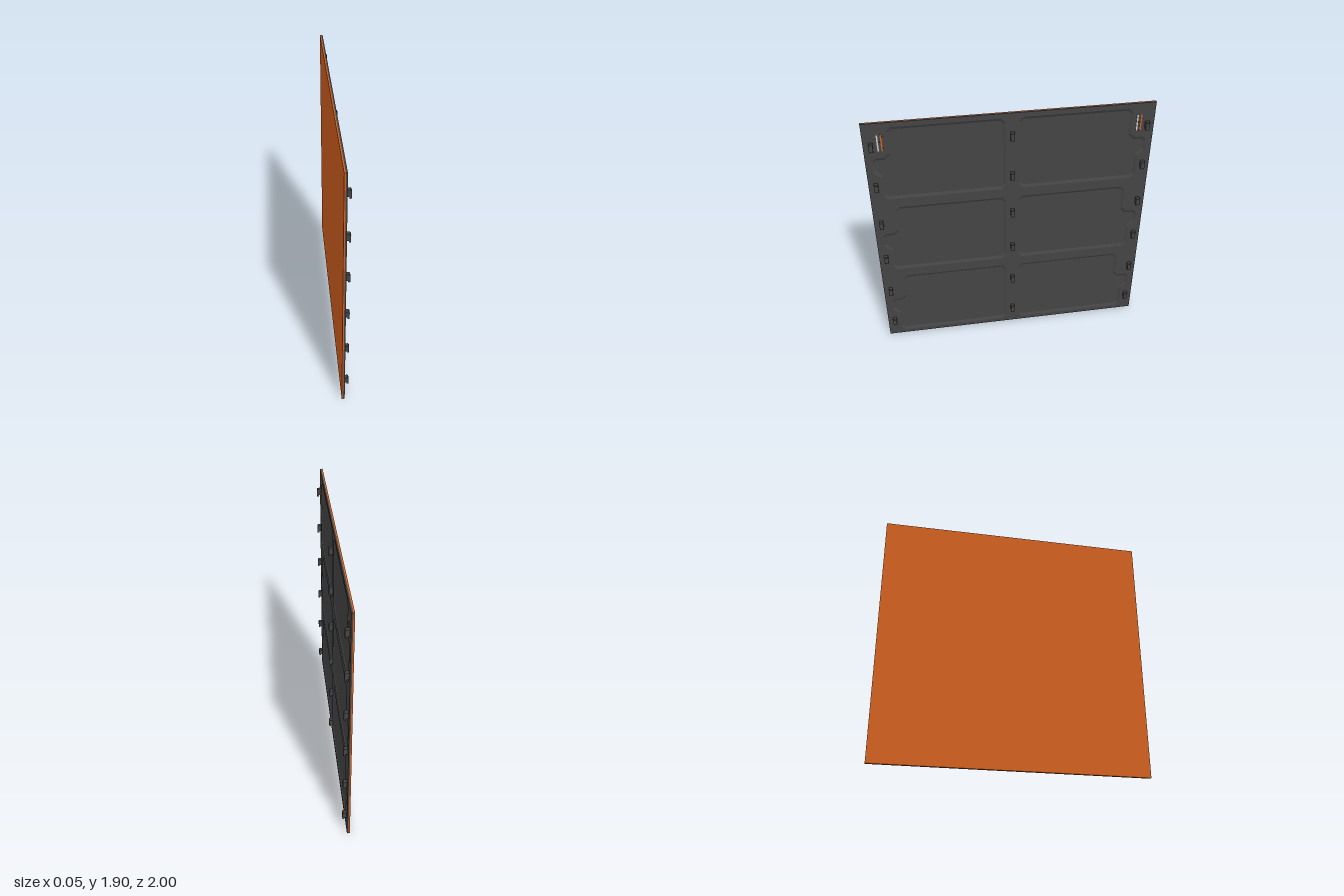
import * as THREE from 'three';

const dark = new THREE.MeshStandardMaterial({ color: 0x444444, flatShading: true });
const orange = new THREE.MeshStandardMaterial({ color: 0xd2601e, flatShading: true });
const grey = new THREE.MeshStandardMaterial({ color: 0xcccccc, flatShading: true });

const HEIGHT = 1.9, FACE = -0.004, FLOOR = -0.014, BACK = -0.025;
const V = (x, y) => new THREE.Vector2(x, y);

// Half of the pocket layout: distance from the centre line, height above the pocket's foot
const OUTLINE = [
  [0.844, 0.53], [0.812, 0.562], [0.075, 0.562], [0.045, 0.53], [0.045, 0.03], [0.075, 0],
  [0.878, 0], [0.908, 0.03], [0.908, 0.18], [0.956, 0.23], [0.956, 0.31], [0.93, 0.336],
  [0.873, 0.336], [0.844, 0.364],
];

function pocketOutline(side, foot) {
  const pts = OUTLINE.map(([d, y]) => V(-side * d, foot + y));
  return THREE.ShapeUtils.isClockWise(pts) ? pts.reverse() : pts;
}

// Mitred inward offset of a counter-clockwise outline
function inset(pts, amount) {
  const n = pts.length;
  return pts.map((p, i) => {
    const a = p.clone().sub(pts[(i + n - 1) % n]).normalize();
    const b = pts[(i + 1) % n].clone().sub(p).normalize();
    const m = V(-a.y - b.y, a.x + b.x).normalize();
    return p.clone().addScaledVector(m, amount / (-m.x * a.y + m.y * a.x));
  });
}

// Sloped wall between the outline at the face and its inset at the floor
function slopeGeometry(outer, inner) {
  const pos = [], n = outer.length;
  for (let i = 0; i < n; i++) {
    const j = (i + 1) % n;
    const a = [outer[i].x, outer[i].y, FACE], b = [outer[j].x, outer[j].y, FACE];
    const c = [inner[j].x, inner[j].y, FLOOR], d = [inner[i].x, inner[i].y, FLOOR];
    pos.push(...a, ...b, ...c, ...a, ...c, ...d);
  }
  const g = new THREE.BufferGeometry();
  g.setAttribute('position', new THREE.Float32BufferAttribute(pos, 3));
  g.computeVertexNormals();
  return g;
}

function add(parent, name, geometry, material, x = 0, y = 0, z = 0) {
  const mesh = new THREE.Mesh(geometry, material);
  mesh.name = name;
  mesh.position.set(x, y, z);
  parent.add(mesh);
  return mesh;
}

// Upright bar with rounded ends, lying on the panel face
function barGeometry(width, height, depth) {
  const r = width / 2, h = height / 2 - r, s = new THREE.Shape();
  s.absarc(0, h, r, 0, Math.PI);
  s.absarc(0, -h, r, Math.PI, Math.PI * 2);
  s.closePath();
  return new THREE.ExtrudeGeometry(s, { depth, bevelEnabled: false, curveSegments: 6 })
    .rotateY(Math.PI / 2);
}

export function createModel() {
  const model = new THREE.Group();
  model.name = 'wallPanel';

  // Coloured backing sheet
  add(model, 'backSheet', new THREE.BoxGeometry(0.01, HEIGHT, 2), orange, BACK + 0.005, HEIGHT / 2, 0);

  // Front plate with six pocket openings
  const plate = new THREE.Shape([V(-1, 0), V(1, 0), V(1, HEIGHT), V(-1, HEIGHT)]);
  for (const foot of [0.032, 0.667, 1.302]) {
    for (const side of [1, -1]) {
      const outer = pocketOutline(side, foot), inner = inset(outer, 0.02);
      plate.holes.push(new THREE.Path(outer));
      add(model, 'pocketWall', slopeGeometry(outer, inner).rotateY(Math.PI / 2), dark);
      add(model, 'pocketFloor', new THREE.ShapeGeometry(new THREE.Shape(inner)).rotateY(Math.PI / 2), dark, FLOOR);
    }
  }
  const thickness = FACE - BACK - 0.01;
  const plateGeometry = new THREE.ExtrudeGeometry(plate, { depth: thickness, bevelEnabled: false });
  add(model, 'frontPlate', plateGeometry.rotateY(Math.PI / 2), dark, FACE - thickness);

  // Three columns of mounting hooks: a neck with a lip turned down
  const hook = new THREE.Shape([
    V(-0.002, -0.018), V(0.012, -0.018), V(0.012, -0.03), V(0.025, -0.03),
    V(0.025, 0.024), V(0.019, 0.03), V(-0.002, 0.03), V(-0.006, 0.03), V(-0.006, -0.018),
  ]);
  const hookGeometry = new THREE.ExtrudeGeometry(hook, { depth: 0.028, bevelEnabled: false })
    .translate(0, 0, -0.014);
  for (const z of [-0.948, 0, 0.948]) {
    for (let i = 0; i < 6; i++) add(model, 'hook', hookGeometry, dark, 0, 0.145 + i * 0.317, z);
  }

  // Paired contact strips in the upper corners, joined by a small stud
  for (const z of [0.889, -0.891]) {
    const contact = new THREE.Group();
    contact.name = 'contact';
    contact.position.set(FACE, 1.752, z);
    for (const [dz, material] of [[0.013, grey], [-0.013, orange]]) {
      add(contact, 'stripFrame', barGeometry(0.018, 0.135, 0.001), dark, 0, 0, dz);
      add(contact, 'strip', barGeometry(0.01, 0.122, 0.002), material, 0, 0, dz);
    }
    add(contact, 'stud', new THREE.BoxGeometry(0.008, 0.02, 0.016), dark, 0.003, 0, 0);
    model.add(contact);
  }
  return model;
}
